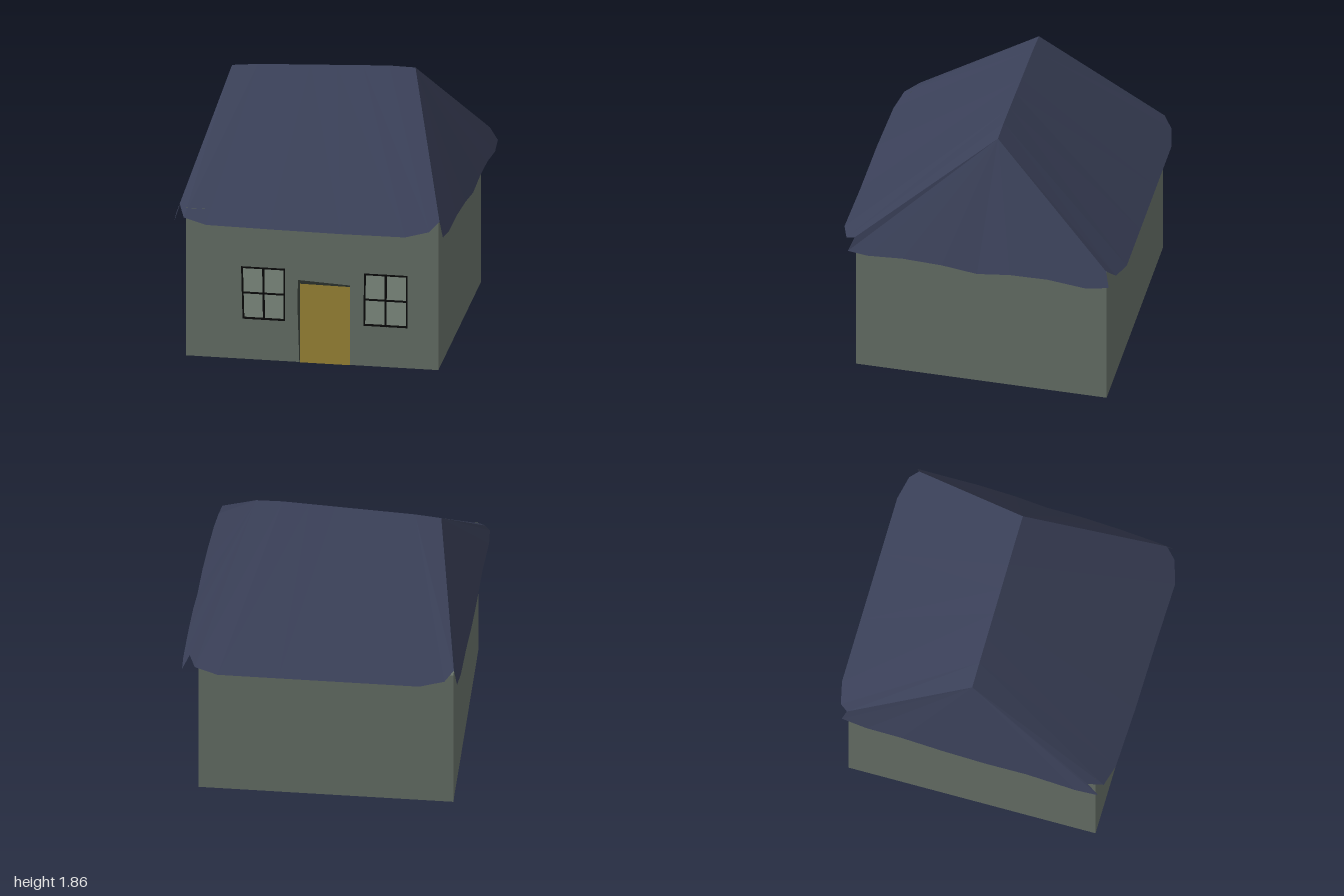
import * as THREE from 'three';

const paint = (color) => new THREE.MeshStandardMaterial({ color, side: THREE.DoubleSide, flatShading: true });
const WALL = { x0: -0.895, x1: 0.86, z0: -0.89, z1: 0.87, h: 1.08 };

function add(parent, name, geometry, material, x = 0, y = 0, z = 0) {
  const mesh = new THREE.Mesh(geometry, material);
  mesh.name = name;
  mesh.position.set(x, y, z);
  parent.add(mesh);
  return mesh;
}

const quad = (points) => points.map(([x, y]) => new THREE.Vector2(x, y));

// Sheet stretched between an upper edge and a lower edge
function sheet(upper, lower) {
  const edge = (points) => {
    const path = new THREE.CurvePath();
    for (let i = 1; i < points.length; i++) {
      path.add(new THREE.LineCurve3(new THREE.Vector3(...points[i - 1]), new THREE.Vector3(...points[i])));
    }
    return path;
  };
  const top = upper.length > 1 ? edge(upper) : null;
  const pos = [], index = [];
  const n = lower.length;
  lower.forEach((p, i) => {
    const u = top ? top.getPointAt(i / (n - 1)).toArray() : upper[0];
    pos.push(...u, ...p);
    if (i < n - 1) {
      const a = 2 * i;
      index.push(a, a + 1, a + 3);
      if (top) index.push(a, a + 3, a + 2);
    }
  });
  const g = new THREE.BufferGeometry();
  g.setAttribute('position', new THREE.Float32BufferAttribute(pos, 3));
  g.setIndex(index);
  g.computeVertexNormals();
  return g;
}

export function createModel() {
  const house = new THREE.Group();
  house.name = 'cottage';
  const stone = paint(0x69736a), slate = paint(0x3a4058), wood = paint(0xa08a38);
  const black = paint(0x0a0a0a), shadow = paint(0x2f3530);
  const { x0, x1, z0, z1, h } = WALL;
  const w = x1 - x0, d = z1 - z0, cx = (x0 + x1) / 2, cz = (z0 + z1) / 2;

  // Slightly crooked window openings, corners counter-clockwise from lower left
  const windows = [
    [[-0.495, 0.3], [-0.21, 0.3], [-0.21, 0.67], [-0.505, 0.67]],
    [[0.345, 0.3], [0.64, 0.3], [0.64, 0.67], [0.35, 0.67]],
  ];

  // Thin walls and floor
  const front = new THREE.Shape(quad([[x0, 0], [x1, 0], [x1, h], [x0, h]]));
  windows.forEach((c) => front.holes.push(new THREE.Path(quad(c))));
  add(house, 'frontWall', new THREE.ShapeGeometry(front), stone, 0, 0, z1);
  add(house, 'backWall', new THREE.PlaneGeometry(w, h), stone, cx, h / 2, z0).rotation.y = Math.PI;
  add(house, 'leftWall', new THREE.PlaneGeometry(d, h), stone, x1, h / 2, cz).rotation.y = Math.PI / 2;
  add(house, 'rightWall', new THREE.PlaneGeometry(d, h), stone, x0, h / 2, cz).rotation.y = -Math.PI / 2;
  add(house, 'floor', new THREE.PlaneGeometry(w, d), stone, cx, 0, cz).rotation.x = Math.PI / 2;

  // Window frames with a cross of glazing bars
  const bar = (group, a, b, t) => {
    const dx = b[0] - a[0], dy = b[1] - a[1];
    const m = add(group, 'bar', new THREE.BoxGeometry(Math.hypot(dx, dy) + t, t, 0.012), black,
      (a[0] + b[0]) / 2, (a[1] + b[1]) / 2, z1);
    m.rotation.z = Math.atan2(dy, dx);
  };
  const mid = (a, b) => [(a[0] + b[0]) / 2, (a[1] + b[1]) / 2];
  windows.forEach((c, k) => {
    const frame = new THREE.Group();
    frame.name = k ? 'leftWindow' : 'rightWindow';
    c.forEach((p, i) => bar(frame, p, c[(i + 1) % 4], 0.011));
    bar(frame, mid(c[0], c[1]), mid(c[2], c[3]), 0.013);
    bar(frame, mid(c[0], c[3]), mid(c[1], c[2]), 0.01);
    house.add(frame);
  });

  // Door in its crooked, shadowed opening
  const opening = new THREE.Shape(quad([[-0.106, 0], [0.247, 0], [0.247, 0.582], [-0.115, 0.6], [-0.12, 0.44]]));
  add(house, 'doorOpening', new THREE.ShapeGeometry(opening), shadow, 0, 0, z1 + 0.003);
  const panel = new THREE.Shape(quad([[-0.1, 0], [0.247, 0], [0.247, 0.572], [-0.1, 0.575]]));
  add(house, 'door', new THREE.ShapeGeometry(panel), wood, 0, 0, z1 + 0.006);

  // Roof: sagging ridge, four sheets with uneven eaves
  const ridge = [[-0.73, 1.795, -0.055], [-0.68, 1.807, -0.055], [0.4, 1.86, -0.055], [0.545, 1.855, -0.055]];
  const hip = {
    rightFront: [-0.945, 1.09, 0.83], leftFront: [0.87, 1.09, 0.88],
    rightBack: [-0.9, 1.13, -0.9], leftBack: [0.92, 1.13, -0.9],
  };
  const frontEave = [hip.rightFront, [-0.9, 1.03, 0.93], [-0.74, 1.0, 0.97], [-0.3, 1.0, 0.985],
    [0.2, 0.998, 0.99], [0.65, 1.005, 1.0], [0.81, 1.035, 0.95], hip.leftFront];
  const backEave = [hip.rightBack, [-0.84, 1.075, -0.96], [-0.67, 1.05, -1], [-0.2, 1.05, -1],
    [0.3, 1.05, -1], [0.72, 1.05, -1], [0.88, 1.075, -0.96], hip.leftBack];
  const leftEave = [hip.leftFront, [0.9, 0.99, 0.92], [0.918, 0.985, 0.78], [0.93, 1.01, 0.53],
    [0.945, 1.01, 0.25], [0.955, 0.985, 0], [0.963, 1.02, -0.23], [0.97, 1.03, -0.5],
    [0.978, 1.005, -0.77], [0.97, 1.03, -0.93], hip.leftBack];
  const rightEave = [hip.rightFront, [-0.97, 0.99, 0.91], [-0.98, 1.0, 0.75], [-0.968, 1.02, 0.4],
    [-0.962, 1.0, 0.1], [-0.957, 1.01, -0.2], [-0.945, 1.02, -0.5], [-0.935, 1.0, -0.75],
    [-0.925, 1.03, -0.93], hip.rightBack];
  const roof = new THREE.Group();
  roof.name = 'roof';
  add(roof, 'frontSlope', sheet(ridge, frontEave), slate);
  add(roof, 'backSlope', sheet([...ridge].reverse(), [...backEave].reverse()), slate);
  add(roof, 'leftHip', sheet([ridge[3]], leftEave), slate);
  add(roof, 'rightHip', sheet([ridge[0]], [...rightEave].reverse()), slate);
  house.add(roof);
  return house;
}
